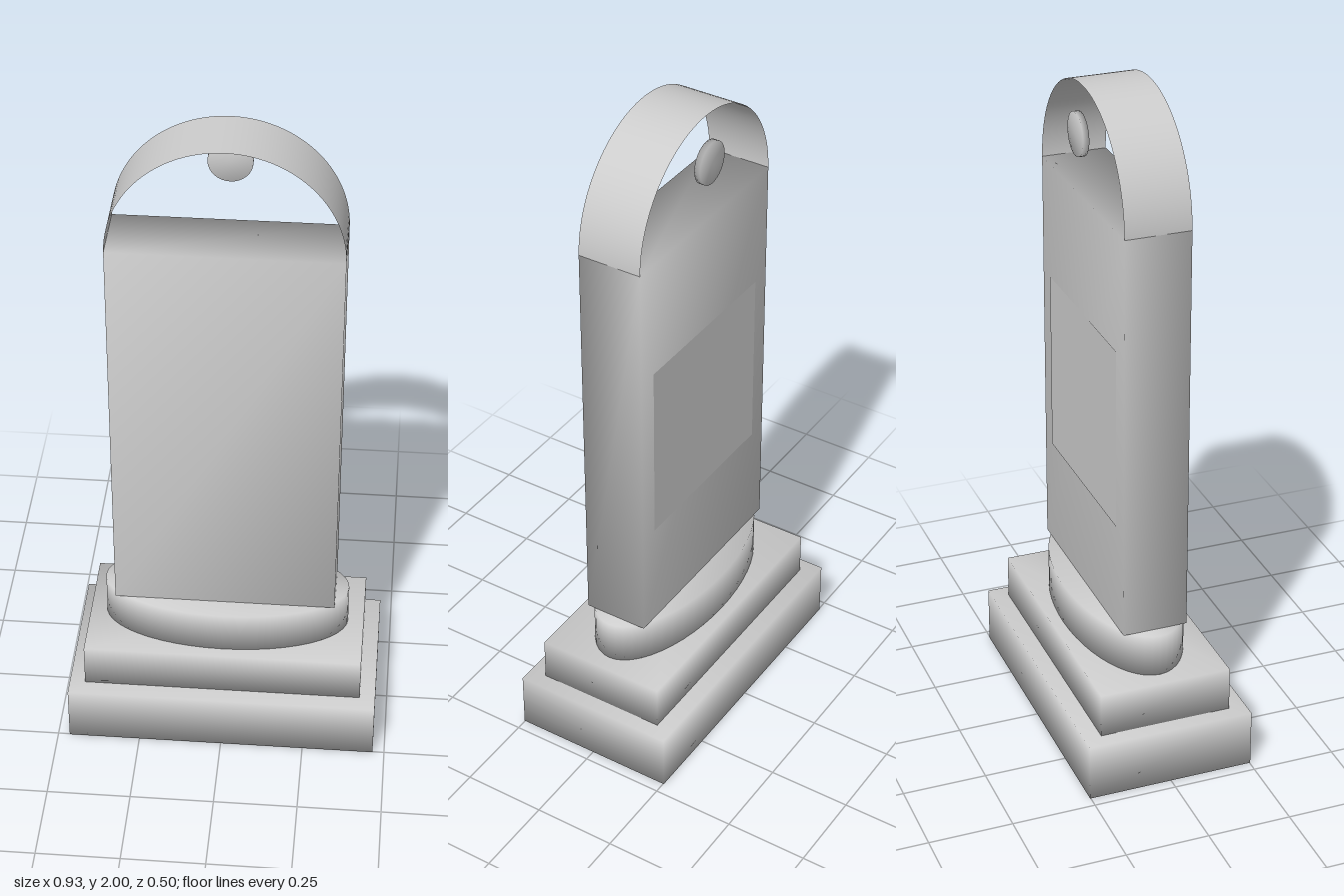
import * as THREE from 'three';
import { mergeVertices } from 'three/addons/utils/BufferGeometryUtils.js';

const stone = new THREE.MeshStandardMaterial({ color: 0xcccccc, side: THREE.DoubleSide });
stone.name = 'paleStone';

// Share corner normals so each solid shades softly across its edges.
function soften(geometry) {
  geometry.deleteAttribute('normal');
  geometry.deleteAttribute('uv');
  const merged = mergeVertices(geometry, 1e-4);
  merged.computeVertexNormals();
  return merged;
}

export function createModel() {
  const group = new THREE.Group();
  group.name = 'monument';

  function add(name, geometry, y, z = 0) {
    const mesh = new THREE.Mesh(geometry, stone);
    mesh.name = name;
    mesh.position.set(0, y, z);
    group.add(mesh);
  }

  // Box standing between two heights
  function block(name, width, depth, y0, y1) {
    add(name, soften(new THREE.BoxGeometry(width, y1 - y0, depth)), (y0 + y1) / 2);
  }

  // Stepped base
  block('lowerStep', 0.93, 0.504, 0, 0.175);
  block('upperStep', 0.836, 0.4, 0.175, 0.31);

  // Oval plinth
  const oval = new THREE.CylinderGeometry(1, 1, 0.13, 48);
  oval.scale(0.37, 1, 0.165);
  add('ovalPlinth', soften(oval), 0.375);

  // Upright slab
  block('slab', 0.66, 0.195, 0.44, 1.672);

  // Open arched band over the slab
  const arch = new THREE.CylinderGeometry(0.33, 0.33, 0.195, 48, 1, true, Math.PI / 2, Math.PI);
  arch.rotateX(Math.PI / 2);
  add('archBand', arch, 1.67);

  // Round medallion at the back, inside the arch
  const medallion = new THREE.CylinderGeometry(0.063, 0.063, 0.018, 32);
  medallion.rotateX(Math.PI / 2);
  add('medallion', soften(medallion), 1.858, -0.106);

  // Flat panel on the back of the slab
  const panel = new THREE.PlaneGeometry(0.54, 0.55);
  panel.rotateY(Math.PI);
  add('backPanel', panel, 1.045, -0.099);

  return group;
}
